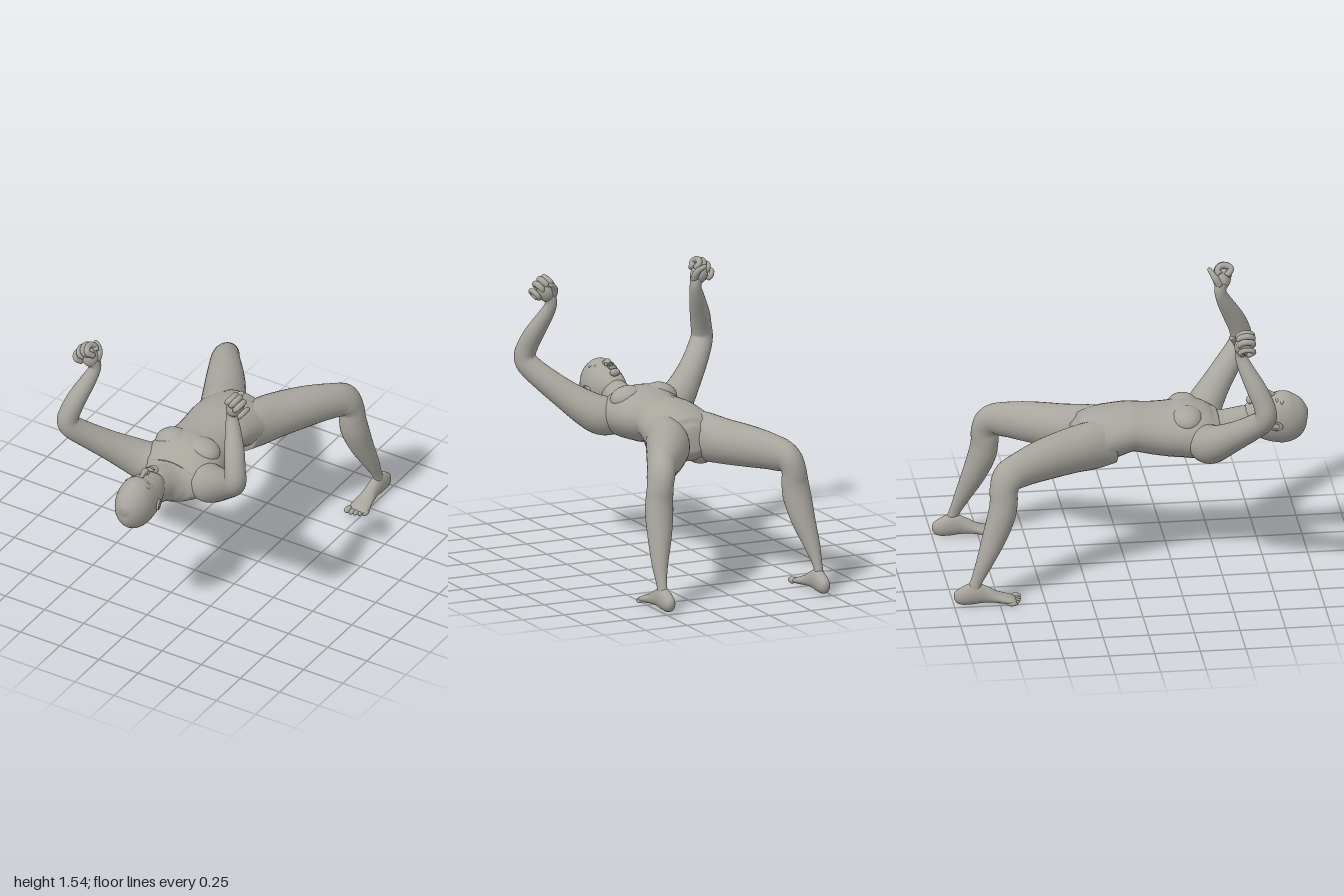
import * as THREE from 'three';

const skin = new THREE.MeshStandardMaterial({ color: 0xa8a59d });
skin.name = 'warm grey';

// Smooth tube through sections [x, y, z, sideRadius, upRadius]; s = -1 mirrors it in x.
function loft(name, sections, { s = 1, ref = [1, 0, 0], steps = 5, sides = 32 } = {}) {
  const make = (f) => new THREE.CatmullRomCurve3(sections.map(f), false, 'catmullrom', 0.5);
  const path = make((p) => new THREE.Vector3(p[0] * s, p[1], p[2]));
  const radii = make((p) => new THREE.Vector3(p[3], p[4], 0));
  const refV = new THREE.Vector3(ref[0] * s, ref[1], ref[2]);
  const n = (sections.length - 1) * steps;
  const pos = [], idx = [];
  for (let i = 0; i <= n; i++) {
    const c = path.getPoint(i / n), r = radii.getPoint(i / n), t = path.getTangent(i / n);
    const side = refV.clone().addScaledVector(t, -refV.dot(t)).normalize();
    const up = t.clone().cross(side);
    for (let j = 0; j < sides; j++) {
      const a = (j / sides) * Math.PI * 2;
      const v = c.clone().addScaledVector(side, Math.cos(a) * r.x).addScaledVector(up, Math.sin(a) * r.y);
      pos.push(v.x, v.y, v.z);
    }
  }
  const at = (i, j) => i * sides + (j % sides);
  const first = pos.length / 3, last = first + 1;
  pos.push(...path.getPoint(0).toArray(), ...path.getPoint(1).toArray());
  for (let j = 0; j < sides; j++) {
    for (let i = 0; i < n; i++) {
      idx.push(at(i, j), at(i, j + 1), at(i + 1, j + 1), at(i, j), at(i + 1, j + 1), at(i + 1, j));
    }
    idx.push(first, at(0, j + 1), at(0, j), last, at(n, j), at(n, j + 1));
  }
  const g = new THREE.BufferGeometry();
  g.setAttribute('position', new THREE.Float32BufferAttribute(pos, 3));
  g.setIndex(idx);
  g.computeVertexNormals();
  const m = new THREE.Mesh(g, skin);
  m.name = name;
  return m;
}

// Loft along z from rows [z, bottom, top, halfWidth], centred on x.
const body = (name, rows, x = 0, s = 1) =>
  loft(name, rows.map(([z, b, t, w]) => [x, (b + t) / 2, z, w, (t - b) / 2]), { s });

function blob(name, [x, y, z], size, s = 1, rot = [0, 0, 0]) {
  const m = new THREE.Mesh(new THREE.SphereGeometry(1, 24, 16), skin);
  m.name = name;
  m.position.set(x * s, y, z);
  m.scale.set(...size);
  m.rotation.set(rot[0], rot[1] * s, rot[2] * s);
  return m;
}

function makeArm(s) {
  const arm = new THREE.Group();
  arm.name = s > 0 ? 'leftArm' : 'rightArm';
  arm.add(loft('armLimb', [
    [0.12, 0.76, 0.41, 0.10, 0.10], [0.20, 0.765, 0.435, 0.108, 0.108], [0.275, 0.805, 0.475, 0.097, 0.097],
    [0.36, 0.87, 0.54, 0.081, 0.081], [0.45, 0.95, 0.62, 0.07, 0.07], [0.515, 1.02, 0.685, 0.064, 0.064],
    [0.535, 1.07, 0.702, 0.06, 0.06], [0.525, 1.13, 0.69, 0.057, 0.057], [0.50, 1.21, 0.655, 0.055, 0.053],
    [0.46, 1.31, 0.605, 0.043, 0.042], [0.437, 1.38, 0.578, 0.032, 0.033], [0.445, 1.43, 0.582, 0.035, 0.037],
  ], { s, ref: [0.7, 0, -0.7] }));
  // Closed fist: palm, four curled fingers and a thumb
  arm.add(blob('palm', [0.464, 1.452, 0.588], [0.046, 0.062, 0.05], s, [0, 0, -0.45]));
  for (let i = 0; i < 4; i++) {
    const x = 0.455 + i * 0.025, y = 1.517 - i * 0.007 * (i + 0.2), r = i === 3 ? 0.014 : 0.017;
    const p = (out, z) => [x + out * 0.6, y + out * 0.8, z, r, r];
    arm.add(loft('finger' + (i + 1),
      [p(-0.045, 0.61), p(-0.012, 0.637), p(0.01, 0.62), p(0.012, 0.585), p(-0.012, 0.562), p(-0.035, 0.575)],
      { s, ref: [0.8, -0.6, 0], steps: 4, sides: 14 }));
  }
  arm.add(loft('thumb', [
    [0.43, 1.425, 0.575, 0.022, 0.022], [0.428, 1.465, 0.55, 0.019, 0.019],
    [0.445, 1.492, 0.532, 0.015, 0.015], [0.468, 1.506, 0.521, 0.012, 0.012], [0.476, 1.51, 0.517, 0.005, 0.005],
  ], { s, ref: [0, 0, 1], sides: 14 }));
  return arm;
}

function makeLeg(s) {
  const leg = new THREE.Group();
  leg.name = s > 0 ? 'leftLeg' : 'rightLeg';
  leg.add(loft('legLimb', [
    [0.10, 0.765, -0.08, 0.09, 0.12], [0.12, 0.757, -0.2, 0.112, 0.133], [0.165, 0.753, -0.32, 0.12, 0.125],
    [0.255, 0.748, -0.48, 0.106, 0.114], [0.33, 0.737, -0.6, 0.088, 0.10], [0.382, 0.715, -0.685, 0.075, 0.09],
    [0.403, 0.655, -0.718, 0.068, 0.078], [0.41, 0.58, -0.72, 0.074, 0.076], [0.418, 0.5, -0.733, 0.077, 0.076],
    [0.435, 0.38, -0.775, 0.065, 0.066], [0.46, 0.25, -0.83, 0.044, 0.047], [0.472, 0.14, -0.878, 0.025, 0.032],
    [0.472, 0.07, -0.9, 0.03, 0.038],
  ], { s, ref: [0.92, 0, -0.3] }));
  // Foot with heel at the back and toes towards +z
  leg.add(body('foot', [
    [-1, 0.04, 0.06, 0.006], [-0.988, 0.018, 0.085, 0.024], [-0.95, 0.005, 0.108, 0.036],
    [-0.89, 0.007, 0.13, 0.038], [-0.83, 0.012, 0.108, 0.037], [-0.77, 0.012, 0.074, 0.045],
    [-0.71, 0.005, 0.052, 0.056], [-0.68, 0.005, 0.04, 0.055], [-0.664, 0.012, 0.03, 0.046],
  ], 0.468, s));
  for (let i = 0; i < 5; i++) {
    const r = i === 0 ? 0.018 : 0.0145 - i * 0.0005;
    leg.add(blob('toe' + (i + 1), [0.42 + i * 0.0235 + (i ? 0.003 : 0), r + 0.003, -0.658 - i * i * 0.0018],
      [r, r, 0.03], s));
  }
  leg.add(blob('buttock', [0.088, 0.7, -0.2], [0.095, 0.09, 0.1], s));
  return leg;
}

function makeHead() {
  const head = new THREE.Group();
  head.name = 'head';
  head.add(body('skull', [
    [1, 0.815, 0.825, 0.004], [0.99, 0.765, 0.877, 0.045], [0.96, 0.715, 0.925, 0.077],
    [0.91, 0.68, 0.955, 0.1], [0.86, 0.67, 0.966, 0.107], [0.81, 0.68, 0.958, 0.106],
    [0.77, 0.70, 0.953, 0.1], [0.72, 0.74, 0.95, 0.086], [0.685, 0.79, 0.945, 0.066],
    [0.665, 0.84, 0.93, 0.04], [0.66, 0.875, 0.905, 0.012],
  ].reverse()));
  // Facial features, all facing up
  head.add(loft('nose', [
    [0, 0.942, 0.835, 0.01, 0.01], [0, 0.955, 0.8, 0.012, 0.015], [0, 0.966, 0.77, 0.017, 0.018],
    [0, 0.955, 0.755, 0.016, 0.014],
  ], { sides: 16 }));
  head.add(blob('upperLip', [0, 0.949, 0.722], [0.028, 0.01, 0.008]));
  head.add(blob('lowerLip', [0, 0.947, 0.708], [0.024, 0.011, 0.008]));
  head.add(blob('chin', [0, 0.927, 0.682], [0.03, 0.022, 0.02]));
  for (const s of [1, -1]) {
    head.add(blob('nostril', [0.014, 0.956, 0.762], [0.01, 0.011, 0.012], s));
    head.add(blob('eye', [0.045, 0.932, 0.825], [0.02, 0.014, 0.009], s, [0, 0, -0.35]));
    head.add(blob('brow', [0.045, 0.936, 0.85], [0.034, 0.012, 0.012], s, [0, 0, -0.35]));
    // Ear: rim and inner bowl
    const ear = new THREE.Group();
    ear.name = 'ear';
    const rim = new THREE.Mesh(new THREE.TorusGeometry(0.022, 0.006, 10, 24), skin);
    rim.name = 'earRim';
    rim.scale.set(1.4, 0.9, 1.2);
    ear.add(rim, blob('earBowl', [0, 0, 0], [0.028, 0.017, 0.006]));
    ear.position.set(0.113 * s, 0.81, 0.812);
    ear.rotation.set(0, s * (Math.PI / 2 + 0.3), 0);
    head.add(ear);
  }
  return head;
}

export function createModel() {
  const model = new THREE.Group();
  model.name = 'bridgePoseFigure';
  // Neck and trunk, from throat to crotch
  model.add(body('torso', [
    [0.74, 0.715, 0.89, 0.07], [0.66, 0.698, 0.89, 0.08], [0.60, 0.685, 0.88, 0.095], [0.55, 0.66, 0.87, 0.135],
    [0.51, 0.64, 0.87, 0.19], [0.45, 0.63, 0.888, 0.232], [0.38, 0.628, 0.925, 0.23], [0.32, 0.632, 0.938, 0.222],
    [0.25, 0.638, 0.93, 0.206], [0.15, 0.655, 0.928, 0.19], [0.06, 0.677, 0.932, 0.187], [0, 0.678, 0.935, 0.194],
    [-0.1, 0.645, 0.925, 0.205], [-0.18, 0.63, 0.905, 0.212], [-0.26, 0.65, 0.885, 0.17], [-0.305, 0.71, 0.84, 0.07],
  ]));
  model.add(makeHead());
  for (const s of [1, -1]) {
    model.add(blob('chestMuscle', [0.1, 0.877, 0.325], [0.095, 0.065, 0.085], s, [0, 0, -0.2]));
    model.add(makeArm(s), makeLeg(s));
  }
  return model;
}
